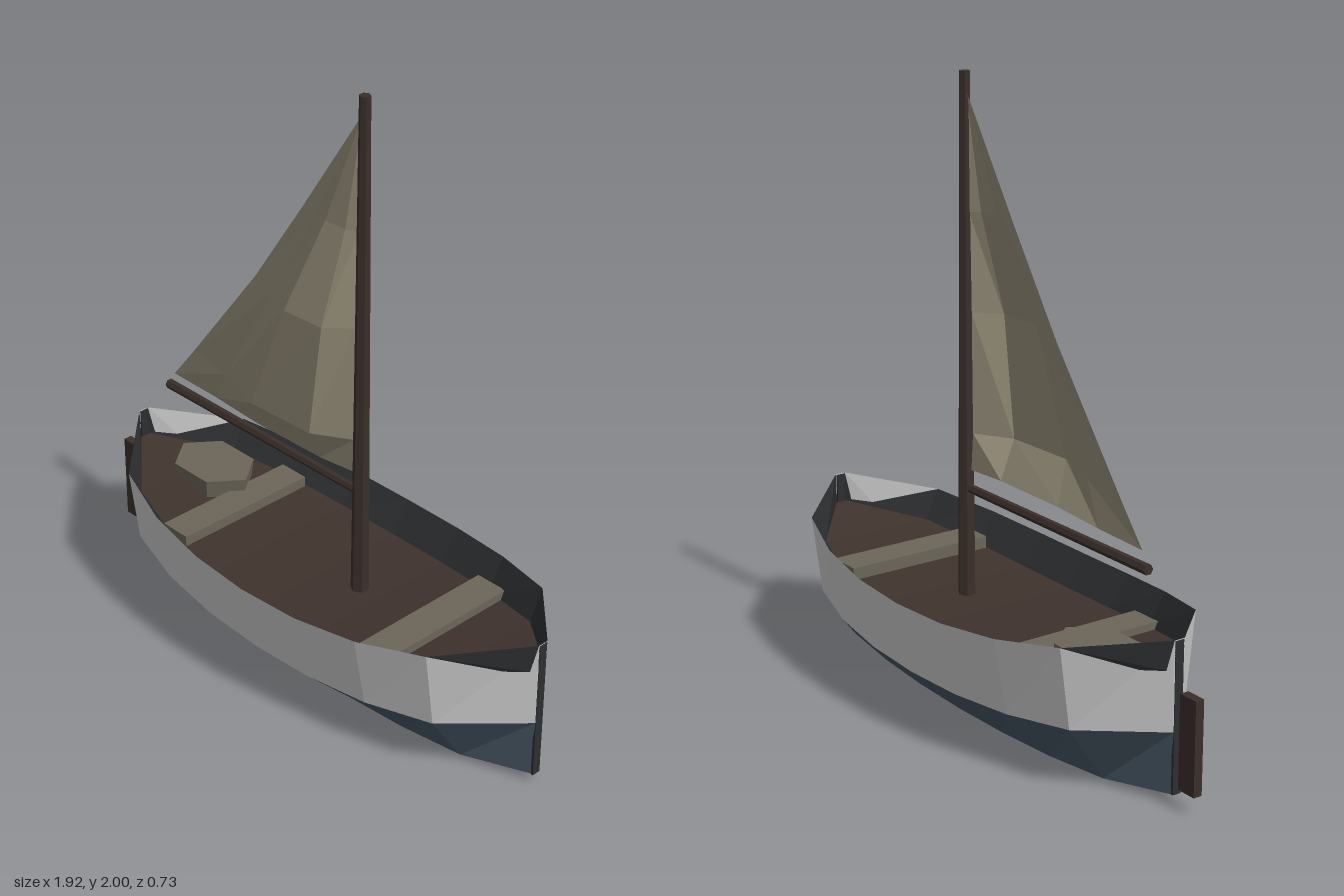
import * as THREE from 'three';

const mat = (color) => new THREE.MeshStandardMaterial({ color, flatShading: true, side: THREE.DoubleSide });
const GREY = mat(0xcccccc), BLUE = mat(0x485866), DARK = mat(0x2c2e30);
const DECK = mat(0x3f322d), SPAR = mat(0x3a2f2a), SEAT = mat(0x6b6658), CLOTH = mat(0x978f7a);

// Plan shape of the hull from stern to bow, as a share of the beam
const PLAN = [0.05, 0.69, 0.885, 0.975, 1, 0.975, 0.885, 0.69, 0.05];
const MID = 0.0475, HALF = 0.9125;

// Closed loop of points around the hull at one level; ends rise by `sheer`
function ring(halfBeam, y, sheer) {
  const side = PLAN.map((w, i) => {
    const t = i / 4 - 1;
    return [MID + HALF * t, y + sheer * t * t, w * halfBeam];
  });
  return [...side, ...side.map(([x, h, z]) => [x, h, -z]).reverse()];
}

function quadMesh(name, quads, material) {
  const pos = [];
  for (const [a, b, c, d] of quads) pos.push(...a, ...b, ...c, ...a, ...c, ...d);
  const geo = new THREE.BufferGeometry();
  geo.setAttribute('position', new THREE.Float32BufferAttribute(pos, 3));
  geo.computeVertexNormals();
  const mesh = new THREE.Mesh(geo, material);
  mesh.name = name;
  return mesh;
}

// Wall between two loops
function band(name, low, high, material) {
  const n = low.length;
  return quadMesh(name, low.map((p, i) => {
    const j = (i + 1) % n;
    return [p, low[j], high[j], high[i]];
  }), material);
}

// Surface spanning one loop from side to side
function fill(name, loop, material, down = false) {
  const n = loop.length, quads = [];
  for (let i = 0; i < n / 2 - 1; i++) {
    const q = [loop[i], loop[i + 1], loop[n - 2 - i], loop[n - 1 - i]];
    quads.push(down ? q.reverse() : q);
  }
  return quadMesh(name, quads, material);
}

function box(name, w, h, d, x, y, z, material) {
  const mesh = new THREE.Mesh(new THREE.BoxGeometry(w, h, d), material);
  mesh.position.set(x, y, z);
  mesh.name = name;
  return mesh;
}

function makeSail() {
  // Rows from foot to head: height, belly depth, luff x, leech x
  const rows = [
    [0.73, 0.02, 0.17, -0.69], [0.86, 0.09, 0.17, -0.585], [1.25, 0.09, 0.175, -0.28],
    [1.57, 0.025, 0.18, -0.06], [1.93, 0, 0.185, 0.18],
  ];
  const across = [0, 0.16, 0.5, 0.75, 1], curve = [0.1, 0.9, 1, 0.3, 0];
  const grid = rows.map(([y, belly, luff, leech]) => across.map((u, k) =>
    [luff + (leech - luff) * u, y + (y < 0.8 ? 0.01 * (1 - u) : 0), belly * curve[k]]));
  const quads = [];
  for (let r = 0; r < rows.length - 1; r++)
    for (let k = 0; k < across.length - 1; k++)
      quads.push([grid[r][k + 1], grid[r][k], grid[r + 1][k], grid[r + 1][k + 1]]);
  return quadMesh('sail', quads, CLOTH);
}

export function createModel() {
  const boat = new THREE.Group();
  boat.name = 'sailboat';

  // Hull
  const keel = ring(0.13, 0, 0.03), chine = ring(0.315, 0.175, 0.055);
  const rim = ring(0.367, 0.415, 0.1), deck = ring(0.295, 0.315, 0.1);
  boat.add(
    fill('hullBottom', keel, BLUE, true),
    band('lowerHull', keel, chine, BLUE),
    band('upperHull', chine, rim, GREY),
    band('innerWall', rim, deck, DARK),
    fill('deck', deck, DECK),
  );
  // Stem strips at both ends
  for (const [name, x] of [['sternPost', -0.863], ['stemPost', 0.958]])
    boat.add(box(name, 0.008, 0.48, 0.03, x, 0.272, 0, DARK));

  // Benches and rudder
  boat.add(
    box('aftBench', 0.11, 0.045, 0.525, -0.395, 0.348, 0, SEAT),
    box('foreBench', 0.115, 0.045, 0.525, 0.517, 0.355, 0, SEAT),
    box('rudder', 0.07, 0.3, 0.03, -0.925, 0.21, 0, SPAR),
  );

  // Six-sided bundle by the stern
  const bundle = new THREE.Mesh(new THREE.CylinderGeometry(0.16, 0.15, 0.07, 6), SEAT);
  bundle.rotation.y = Math.PI / 6;
  const bundleGroup = new THREE.Group();
  bundleGroup.name = 'bundle';
  bundleGroup.add(bundle);
  bundleGroup.scale.z = 0.76;
  bundleGroup.position.set(-0.57, 0.38, -0.06);
  boat.add(bundleGroup);

  // Mast, boom and sail
  const mast = new THREE.Mesh(new THREE.CylinderGeometry(0.018, 0.03, 1.7, 6), SPAR);
  mast.position.set(0.195, 1.15, 0);
  mast.name = 'mast';
  const boom = new THREE.Mesh(new THREE.CylinderGeometry(0.017, 0.014, 0.915, 6), SPAR);
  boom.rotation.z = Math.PI / 2;
  boom.position.set(-0.2625, 0.679, 0);
  boom.name = 'boom';
  boat.add(mast, boom, makeSail());
  return boat;
}
